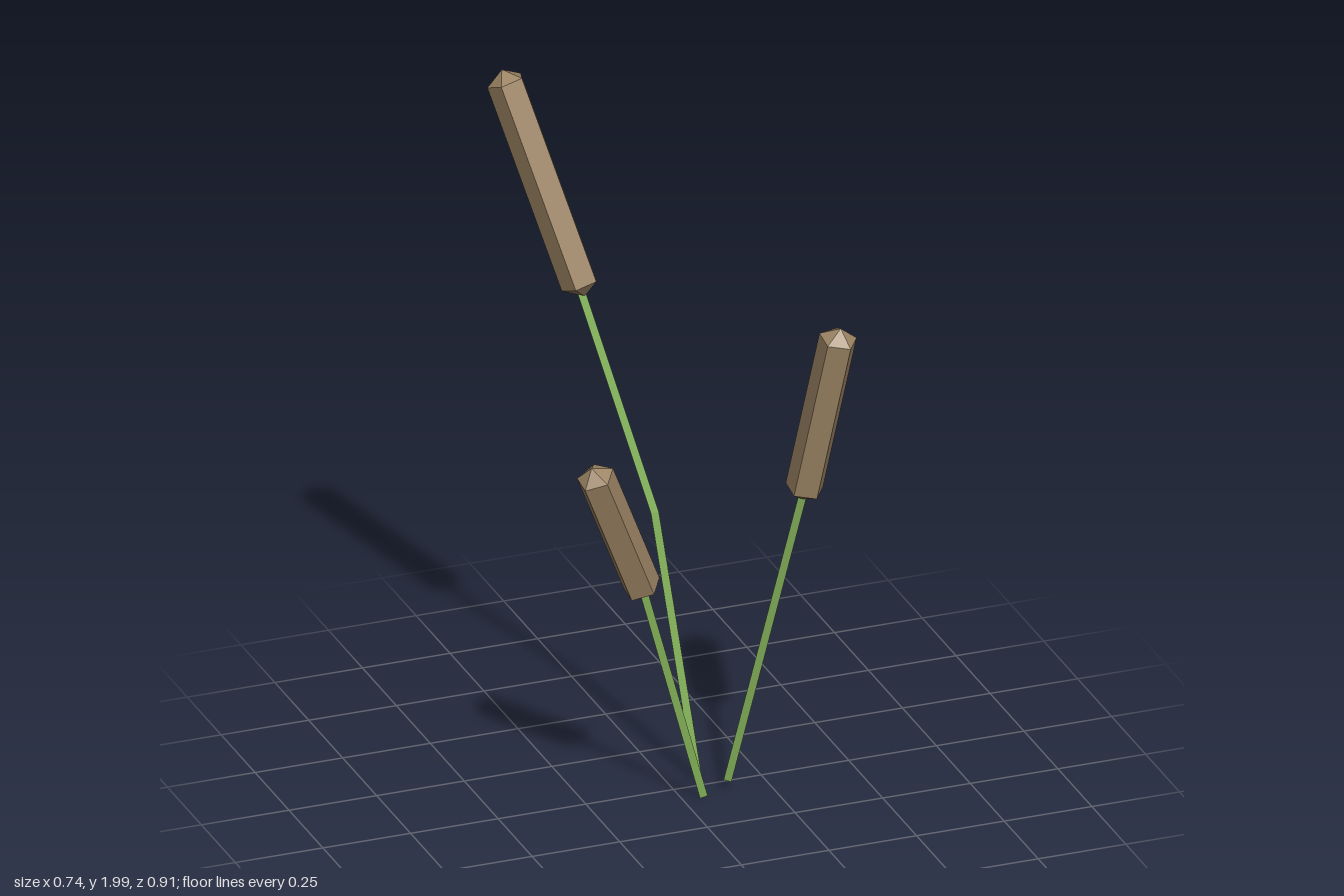
import * as THREE from 'three';

const green = new THREE.MeshStandardMaterial({ color: 0x8aba5e, flatShading: true });
green.name = 'reed green';
const brown = new THREE.MeshStandardMaterial({ color: 0x9c8464, flatShading: true });
brown.name = 'seed head brown';

// Faceted rod along a path; the ends are fans whose centre is pushed out by tip.
// startAngle is the heading in degrees (from +x towards +z) of the first corner.
function rod(path, radius, sides, startAngle, tip) {
  const pts = path.map(p => new THREE.Vector3(...p));
  const last = pts.length - 1;
  const tangent = i => pts[Math.min(i + 1, last)].clone().sub(pts[Math.max(i - 1, 0)]).normalize();
  const pos = [], index = [];
  pts.forEach((p, i) => {
    const d = tangent(i);
    const u = new THREE.Vector3(1, 0, 0).addScaledVector(d, -d.x).normalize();
    const w = u.clone().cross(d);
    for (let k = 0; k < sides; k++) {
      const a = THREE.MathUtils.degToRad(startAngle) + k / sides * Math.PI * 2;
      const v = p.clone().addScaledVector(u, radius * Math.cos(a)).addScaledVector(w, radius * Math.sin(a));
      pos.push(v.x, v.y, v.z);
    }
  });
  const bottom = pos.length / 3, top = bottom + 1;
  pos.push(...pts[0].clone().addScaledVector(tangent(0), -tip).toArray());
  pos.push(...pts[last].clone().addScaledVector(tangent(last), tip).toArray());
  for (let k = 0; k < sides; k++) {
    const n = (k + 1) % sides;
    for (let i = 0; i < last; i++) {
      const a = i * sides + k, b = i * sides + n;
      index.push(a, a + sides, b, b, a + sides, b + sides);
    }
    index.push(bottom, k, n, top, last * sides + n, last * sides + k);
  }
  const geo = new THREE.BufferGeometry();
  geo.setAttribute('position', new THREE.Float32BufferAttribute(pos, 3));
  geo.setIndex(index);
  geo.computeVertexNormals();
  return geo;
}

// Each reed: stem path, stem corner heading, head ring centres, head corner heading
const reeds = [
  {
    name: 'tallReed', stemAngle: 45, headAngle: -90,
    stem: [[0.085, 0.005, -0.04], [-0.015, 0.78, -0.1], [-0.178, 1.41, -0.228]],
    head: [[-0.176, 1.42, -0.23], [-0.321, 1.967, -0.404]],
  },
  {
    name: 'middleReed', stemAngle: 63, headAngle: 0,
    stem: [[0.13, 0.04, 0.066], [0.255, 0.975, 0.304]],
    head: [[0.256, 0.982, 0.305], [0.314, 1.457, 0.404]],
  },
  {
    name: 'shortReed', stemAngle: 33, headAngle: 0,
    stem: [[0.055, 0.01, 0.077], [-0.162, 0.71, 0.187]],
    head: [[-0.163, 0.712, 0.188], [-0.32, 1.09, 0.251]],
  },
];

export function createModel() {
  const model = new THREE.Group();
  model.name = 'reeds';
  for (const r of reeds) {
    const reed = new THREE.Group();
    reed.name = r.name;
    const stem = new THREE.Mesh(rod(r.stem, 0.0125, 3, r.stemAngle, 0), green);
    stem.name = 'stem';
    const head = new THREE.Mesh(rod(r.head, 0.053, 5, r.headAngle, 0.034), brown);
    head.name = 'seedHead';
    reed.add(stem, head);
    model.add(reed);
  }
  return model;
}
